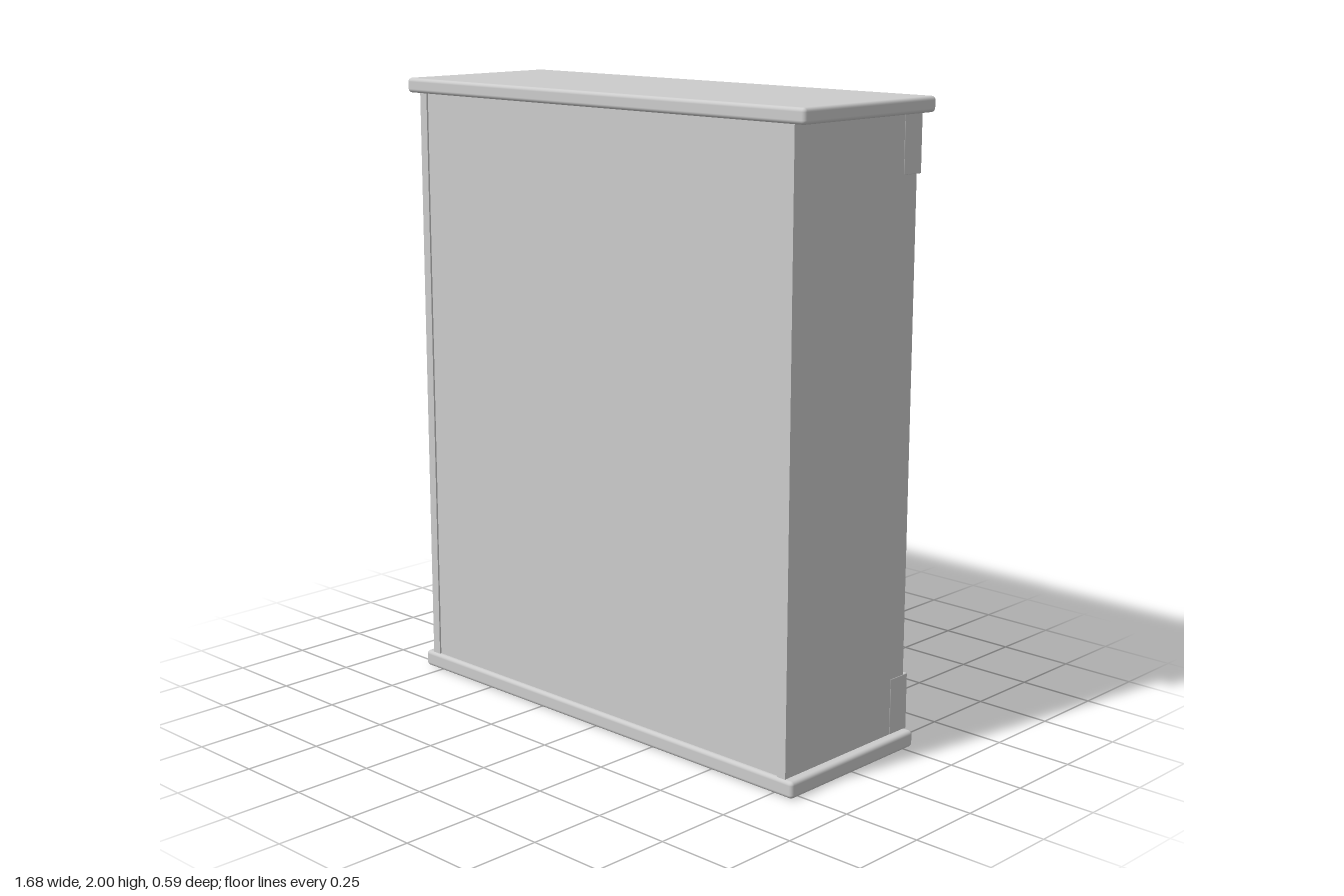
import * as THREE from 'three';
import { RoundedBoxGeometry } from 'three/addons/geometries/RoundedBoxGeometry.js';

export function createModel() {
  const group = new THREE.Group();
  const material = new THREE.MeshStandardMaterial({ color: 0xcccccc });

  const add = (name, geometry, x, y, z) => {
    const mesh = new THREE.Mesh(geometry, material);
    mesh.name = name;
    mesh.position.set(x, y, z);
    group.add(mesh);
    return mesh;
  };
  // Box given by its limits, with optional rounded edges
  const box = (name, [x0, x1], [y0, y1], [z0, z1], radius = 0) => {
    const size = [x1 - x0, y1 - y0, z1 - z0];
    const geometry = radius
      ? new RoundedBoxGeometry(...size, 3, radius)
      : new THREE.BoxGeometry(...size);
    return add(name, geometry, (x0 + x1) / 2, (y0 + y1) / 2, (z0 + z1) / 2);
  };

  // Overhanging top and base boards with softened edges
  box('topBoard', [-0.84, 0.84], [1.953, 2], [-0.295, 0.295], 0.012);
  box('baseBoard', [-0.825, 0.825], [0, 0.053], [-0.288, 0.288], 0.012);

  // Closed panel, set slightly in between the side panels
  box('closedPanel', [-0.762, 0.762], [0.05, 1.955], [0.252, 0.274]);

  // Shelves with a rounded leading edge
  for (const y of [0.69, 1.335]) {
    box('shelf', [-0.762, 0.762], [y - 0.015, y + 0.015], [-0.235, 0.255]);
    const nose = add('shelfNose',
      new THREE.CylinderGeometry(0.015, 0.015, 1.524, 16, 1, false, 0, Math.PI), 0, y, -0.235);
    nose.rotation.set(0, Math.PI / 2, Math.PI / 2, 'YXZ');
    nose.rotation.set(0, 0, 0);
    nose.geometry.rotateZ(Math.PI / 2); // half round now faces up
    nose.geometry.rotateX(-Math.PI / 2); // turn it to the open side
  }

  // Side panels, corner blocks and round columns at the open side
  for (const s of [-1, 1]) {
    const span = (a, b) => (s > 0 ? [a, b] : [-b, -a]);
    box('sidePanel', span(0.762, 0.793), [0.05, 1.955], [-0.27, 0.28]);
    for (const y of [0.05, 1.773]) {
      box('cornerBlock', span(0.715, 0.794), [y, y + 0.182], [-0.291, -0.208], 0.003);
    }
    add('column', new THREE.CylinderGeometry(0.032, 0.032, 1.56, 32), s * 0.755, 1.0025, -0.249);
  }
  return group;
}
